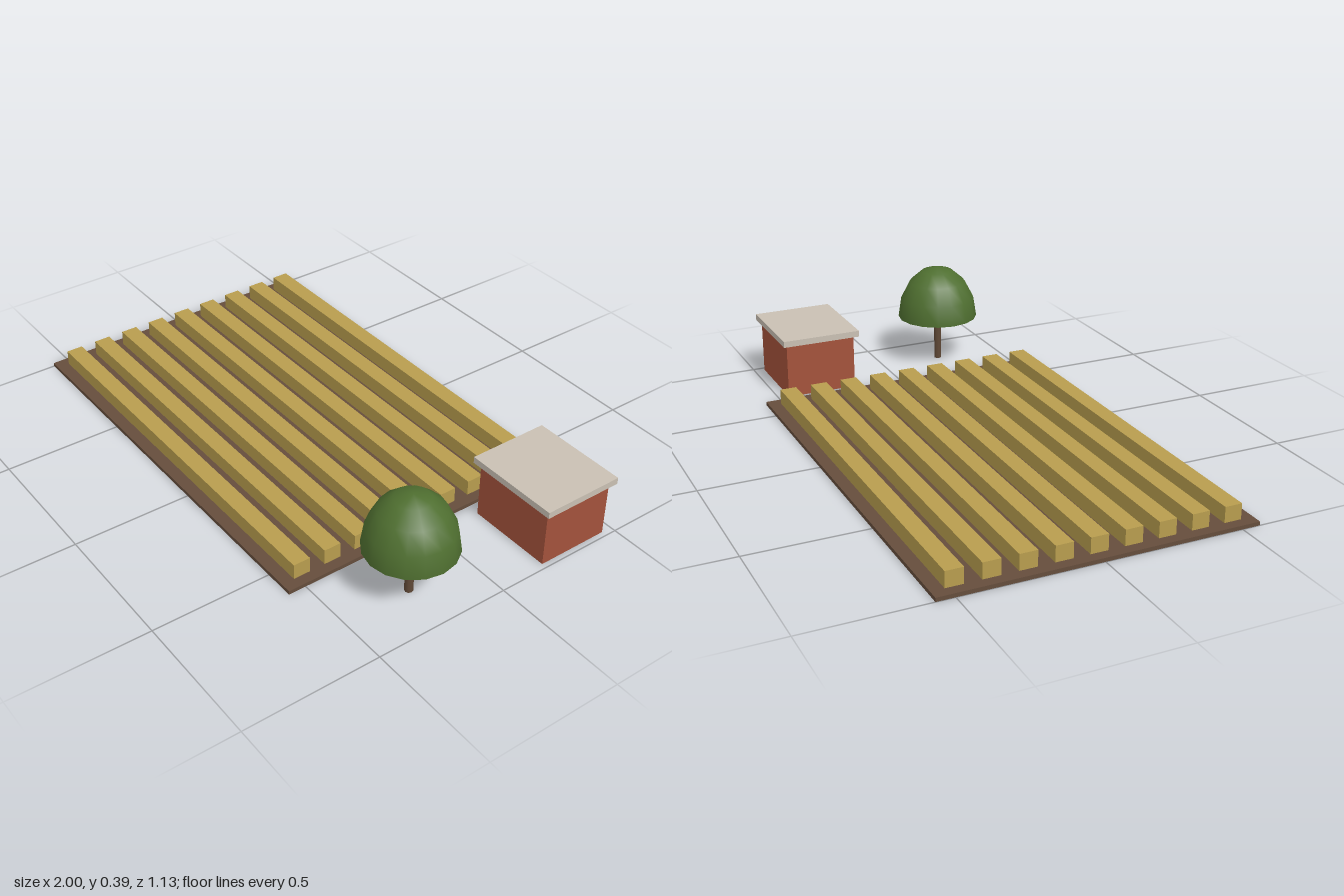
import * as THREE from 'three';

const material = (name, color) => {
  const m = new THREE.MeshStandardMaterial({ color });
  m.name = name;
  return m;
};

export function createModel() {
  const model = new THREE.Group();
  model.name = 'farmPlot';

  const soil = material('soil brown', 0x654d3c);
  const straw = material('crop yellow', 0xb89d4e);
  const brick = material('brick red', 0xa3523b);
  const stone = material('roof beige', 0xc9c0b3);
  const leaf = material('leaf green', 0x4f6f30);
  const bark = material('bark brown', 0x5f4836);

  const add = (name, geometry, mat, x, y, z, parent = model) => {
    const mesh = new THREE.Mesh(geometry, mat);
    mesh.name = name;
    mesh.position.set(x, y, z);
    parent.add(mesh);
    return mesh;
  };
  // Box standing on height y
  const box = (name, mat, w, h, d, x, y, z, parent) =>
    add(name, new THREE.BoxGeometry(w, h, d), mat, x, y + h / 2, z, parent);

  // Field with nine raised crop rows
  const field = new THREE.Group();
  field.name = 'field';
  model.add(field);
  box('soilBed', soil, 1.615, 0.014, 1.13, -0.1925, 0, 0, field);
  for (let i = 0; i < 9; i++) {
    box('cropRow', straw, 1.538, 0.057, 0.063, -0.1925, 0.014, (i - 4) * 0.1218, field);
  }

  // Shed with overhanging flat roof
  const shed = new THREE.Group();
  shed.name = 'shed';
  shed.position.set(0.82, 0, -0.323);
  model.add(shed);
  box('walls', brick, 0.32, 0.212, 0.273, 0, 0, 0, shed);
  box('roof', stone, 0.36, 0.024, 0.306, 0, 0.212, 0, shed);

  // Tree with a domed crown closed underneath
  const tree = new THREE.Group();
  tree.name = 'tree';
  tree.position.set(0.82, 0, 0.243);
  model.add(tree);
  add('trunk', new THREE.CylinderGeometry(0.015, 0.015, 0.188, 8), bark, 0, 0.094, 0, tree);
  const dome = new THREE.SphereGeometry(0.16, 16, 4, 0, Math.PI * 2, 0, Math.PI / 2);
  dome.scale(1, 1.3, 1);
  add('crown', dome, leaf, 0, 0.185, 0, tree);
  const base = new THREE.CircleGeometry(0.16, 16).rotateX(Math.PI / 2);
  add('crownUnderside', base, leaf, 0, 0.185, 0, tree);

  return model;
}
